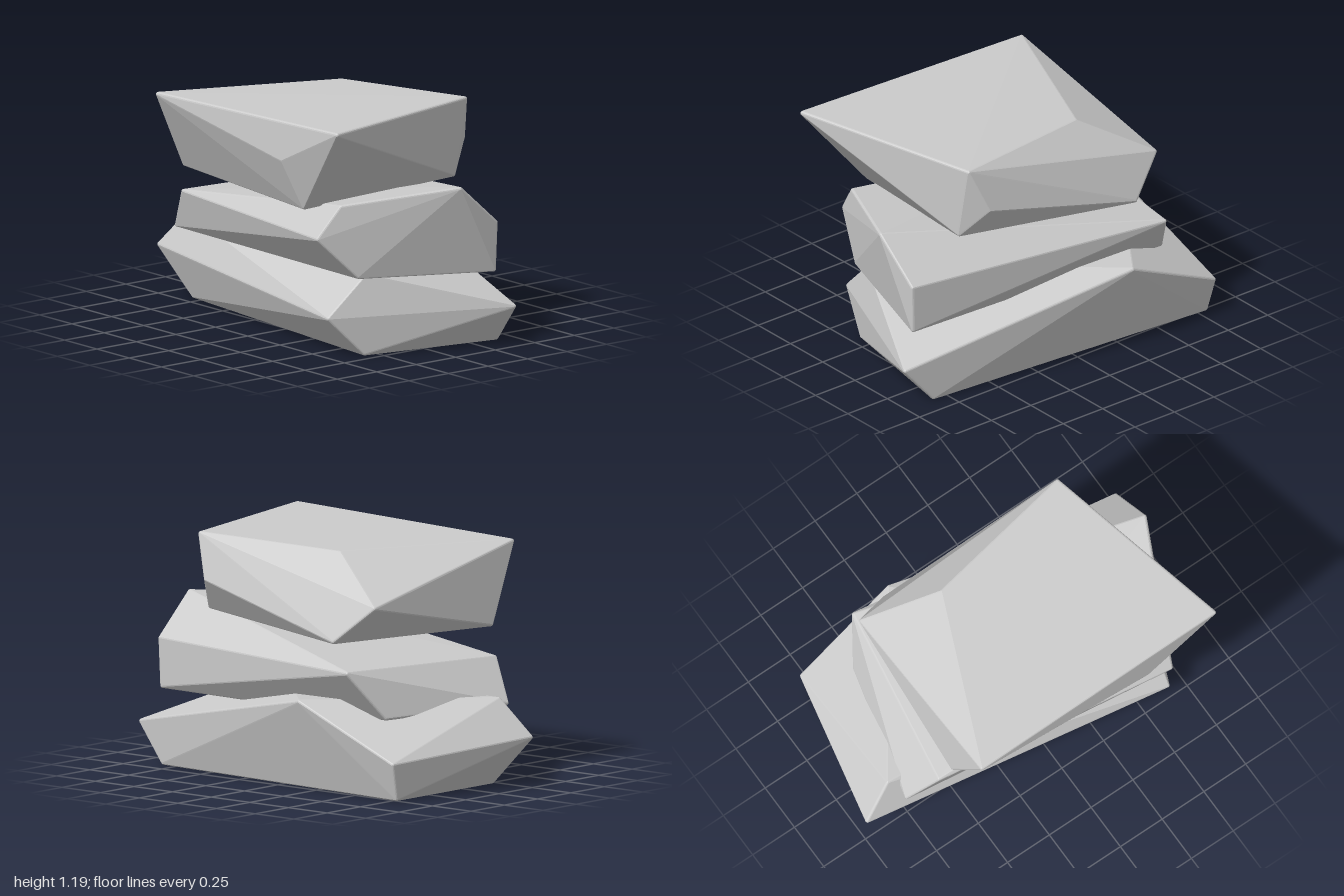
import * as THREE from 'three';
import { ConvexGeometry } from 'three/addons/geometries/ConvexGeometry.js';

const BEVEL = 0.012;

// Corner points of each slab, from the ground up
const slabs = {
  bottomRock: [
    // underside
    [-0.8, 0.005, 0.2], [0.7, 0, 0.33], [0.84, 0, -0.4], [-0.8, 0.005, -0.53],
    // widest belt
    [-1, 0.24, 0.255], [0.64, 0.19, 0.51], [1, 0.19, -0.38], [-0.815, 0.18, -0.575],
    // top
    [-0.84, 0.42, 0.2], [0.68, 0.39, 0.3], [-0.25, 0.447, -0.635],
  ],
  middleRock: [
    // underside
    [-0.8, 0.38, 0.305], [0.7, 0.39, 0.37], [0.907, 0.365, -0.33], [-0.62, 0.37, -0.4],
    // widest belt
    [-0.66, 0.585, 0.38], [0.62, 0.595, 0.565], [0.915, 0.605, -0.335], [-0.51, 0.6, -0.567],
    // top
    [0.66, 0.75, 0.45], [0.925, 0.81, -0.1],
  ],
  topRock: [
    // underside
    [-0.602, 0.737, 0.42], [0.49, 0.727, 0.545], [0.605, 0.79, -0.32], [-0.37, 0.735, -0.51],
    // sides
    [0.43, 0.97, 0.635], [0.52, 0.95, -0.452], [-0.565, 0.91, -0.425],
    // top
    [-0.565, 1.127, 0.62], [0.84, 1.168, 0.62], [0.605, 1.166, -0.395], [-0.2, 1.135, -0.26],
  ],
};

// Convex rock whose corners and edges are slightly rounded:
// the hull of a tiny ball placed just inside every corner
function rockGeometry(corners) {
  const points = corners.map((p) => new THREE.Vector3(...p));
  const centre = points
    .reduce((sum, p) => sum.add(p), new THREE.Vector3())
    .divideScalar(points.length);

  const ball = new THREE.IcosahedronGeometry(BEVEL, 1).getAttribute('position');
  const cloud = [];
  for (const p of points) {
    const inset = p.clone().sub(centre).normalize().multiplyScalar(BEVEL * 1.1);
    const core = p.clone().sub(inset);
    for (let i = 0; i < ball.count; i++) {
      cloud.push(new THREE.Vector3().fromBufferAttribute(ball, i).add(core));
    }
  }
  return new ConvexGeometry(cloud);
}

export function createModel() {
  const model = new THREE.Group();
  model.name = 'stackedRocks';
  const stone = new THREE.MeshStandardMaterial({ color: 0xcccccc, flatShading: true });

  for (const [name, corners] of Object.entries(slabs)) {
    const rock = new THREE.Mesh(rockGeometry(corners), stone);
    rock.name = name;
    model.add(rock);
  }
  return model;
}
